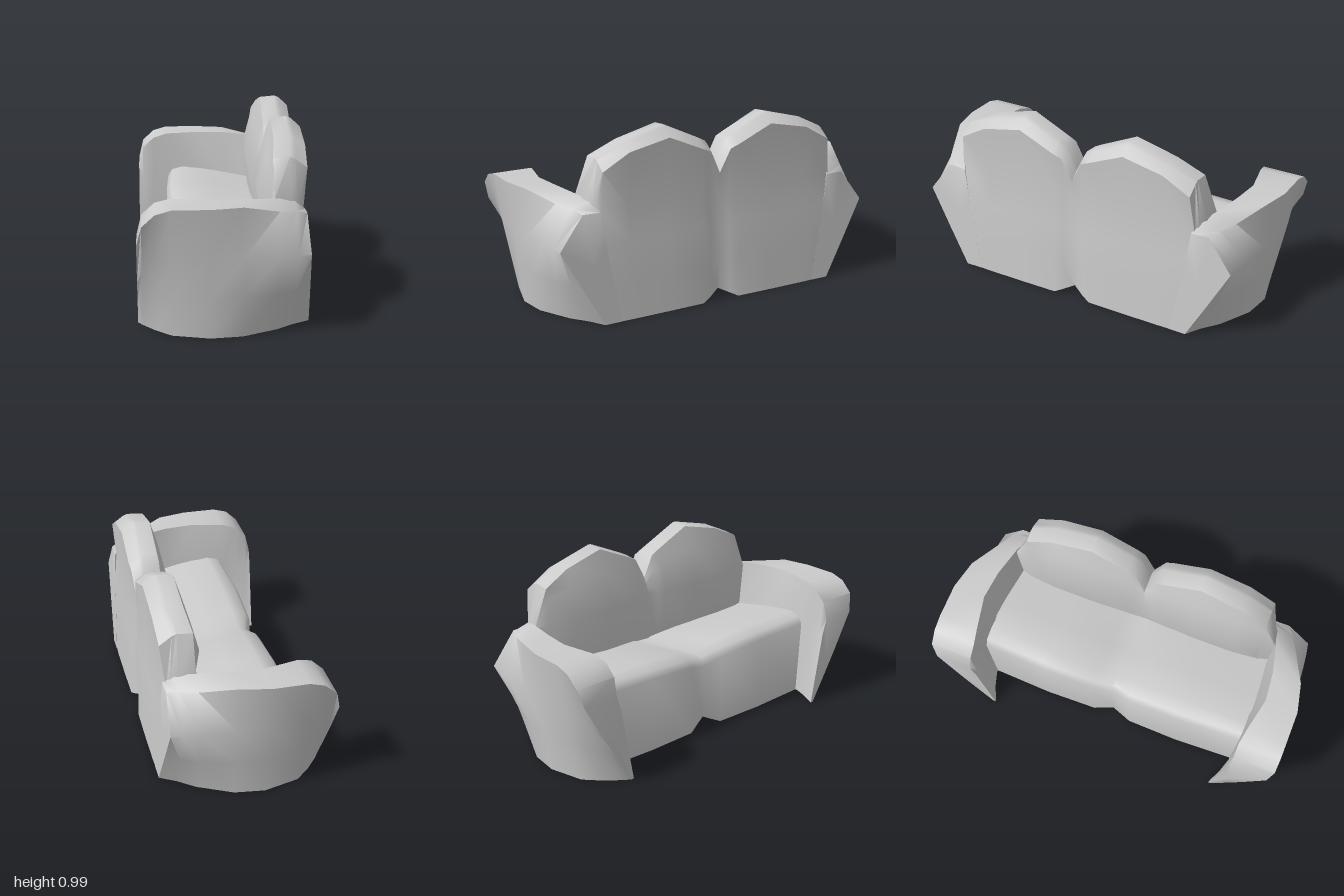
import * as THREE from 'three';
import { toCreasedNormals } from 'three/addons/utils/BufferGeometryUtils.js';

const material = new THREE.MeshStandardMaterial({ color: 0xcccccc });

// Skin a row of equal-length closed loops of [x, y, z] and cap both ends.
function loft(name, loops, crease, flip = false) {
  const pos = [];
  const tri = (a, b, c) => pos.push(...a, ...(flip ? c : b), ...(flip ? b : c));
  const n = loops[0].length;
  for (let i = 0; i < loops.length - 1; i++) {
    for (let j = 0; j < n; j++) {
      const k = (j + 1) % n;
      const a = loops[i][j], b = loops[i][k], c = loops[i + 1][k], d = loops[i + 1][j];
      tri(a, b, c);
      tri(a, c, d);
    }
  }
  const cap = (loop, reverse) => {
    const mid = [0, 1, 2].map((q) => loop.reduce((s, p) => s + p[q], 0) / n);
    loop.forEach((p, j) => {
      const next = loop[(j + 1) % n];
      if (reverse) tri(mid, next, p);
      else tri(mid, p, next);
    });
  };
  cap(loops[0], true);
  cap(loops[loops.length - 1], false);
  const geometry = new THREE.BufferGeometry();
  geometry.setAttribute('position', new THREE.Float32BufferAttribute(pos, 3));
  const mesh = new THREE.Mesh(toCreasedNormals(geometry, crease), material);
  mesh.name = name;
  return mesh;
}

// Turn sections for z >= 0 (centre first) into a full row from -z to +z.
function mirrorRow(half) {
  const other = half.slice(1).reverse().map((loop) => loop.map(([x, y, z]) => [x, y, -z]));
  return [...other, ...half];
}

// Seat block, crowned and pinched at the middle: [z, floor y, front x, drop of the top]
function seat() {
  const rows = [
    [0, 0.06, -0.24, 0.055],
    [0.11, 0.005, -0.268, 0.02],
    [0.4, 0.005, -0.275, 0],
    [0.77, 0.005, -0.26, 0],
  ];
  return loft('seat', mirrorRow(rows.map(([z, y0, xf, drop]) => [
    [0.3, y0, z], [0.3, 0.4 - drop * 0.3, z], [0, 0.455 - drop, z], [-0.17, 0.478 - drop, z],
    [xf + 0.025, 0.462 - drop, z], [xf, 0.425 - drop, z], [xf + 0.005, y0, z],
  ])), 0.9);
}

// Two-lobed backrest, its front swelling out above the seat:
// [z, floor y, base front x, widest front x, top front x, top y, rear top y, rear x, rear foot x]
function backrest() {
  const rows = [
    [0, 0.06, 0.235, 0.22, 0.26, 0.76, 0.71, 0.405, 0.395],
    [0.06, 0.03, 0.23, 0.212, 0.262, 0.88, 0.835, 0.415, 0.42],
    [0.11, 0.005, 0.225, 0.205, 0.262, 0.905, 0.855, 0.42, 0.433],
    [0.31, 0.005, 0.215, 0.175, 0.262, 0.998, 0.942, 0.42, 0.435],
    [0.54, 0.005, 0.215, 0.175, 0.258, 0.938, 0.895, 0.42, 0.435],
    [0.69, 0.005, 0.23, 0.23, 0.242, 0.867, 0.81, 0.415, 0.43],
  ].map(([z, y0, xb, xf, xt, yt, yr, xr, xe]) => [
    [xb, y0, z], [xb, 0.41, z], [xf + 0.002, 0.66, z],
    [(xf + xt) / 2 + 0.005, 0.67 + (yt - 0.67) * 0.6, z],
    [xt, yt - 0.008, z], [xt + 0.085, yt, z], [xt + 0.108, yt - 0.01, z],
    [xr, yr, z], [xr - 0.017, 0.6, z], [xr - 0.002, 0.43, z],
    [(xr + xe) / 2, 0.2, z], [xe, y0, z],
  ]);
  // Sloping outer end that sinks into the arms
  rows.push([
    [0.25, 0.005, 0.7], [0.25, 0.41, 0.75], [0.24, 0.655, 0.765],
    [0.243, 0.66, 0.765], [0.245, 0.665, 0.765], [0.33, 0.655, 0.75],
    [0.37, 0.63, 0.73], [0.385, 0.61, 0.715], [0.392, 0.6, 0.715],
    [0.41, 0.43, 0.75], [0.42, 0.2, 0.73], [0.428, 0.005, 0.7],
  ]);
  return loft('backrest', mirrorRow(rows.map((loop) => loop.reverse())), 0.78);
}

// Bowed arm, lofted from front to rear:
// [x, inner foot z, outer foot z, middle z, middle y, outer top z, outer top y, inner top z, inner top y]
function arm(side) {
  const rows = [
    [-0.44, 0.67, 0.685, 0.85, 0.28, 0.97, 0.5, 0.77, 0.5],
    [-0.415, 0.68, 0.725, 0.895, 0.34, 0.997, 0.6, 0.765, 0.6],
    [-0.35, 0.71, 0.805, 0.935, 0.4, 1.0, 0.66, 0.765, 0.66],
    [-0.27, 0.735, 0.88, 0.965, 0.43, 1.0, 0.683, 0.78, 0.683],
    [-0.08, 0.74, 0.93, 0.975, 0.43, 1.0, 0.683, 0.82, 0.683],
    [0.08, 0.74, 0.91, 0.967, 0.43, 0.965, 0.683, 0.805, 0.683],
    [0.26, 0.7, 0.82, 0.953, 0.43, 0.882, 0.637, 0.765, 0.672],
    [0.35, 0.66, 0.75, 0.943, 0.43, 0.835, 0.625, 0.725, 0.655],
    [0.405, 0.6, 0.7, 0.932, 0.43, 0.8, 0.605, 0.7, 0.602],
  ];
  const loops = rows.map(([x, zi, zo, zm, ym, zt, yt, zit, yit]) => [
    [x, 0.005, zi], [x, 0.005, zo], [x, ym * 0.5, zo + (zm - zo) * 0.5],
    [x, ym, zm], [x, yt, zt], [x, yit, zit],
    [x, 0.42, Math.min(0.757, zi * 0.25 + zit * 0.75)],
  ].map(([px, py, pz]) => [
    // the rear end flares back a little towards the floor
    px > 0.4 ? px + 0.03 * (1 - py / 0.605) : px, py, pz * side,
  ]));
  return loft(side > 0 ? 'leftArm' : 'rightArm', loops, 1.1, side > 0);
}

export function createModel() {
  const sofa = new THREE.Group();
  sofa.name = 'sofa';
  sofa.add(seat(), backrest(), arm(1), arm(-1));
  return sofa;
}
